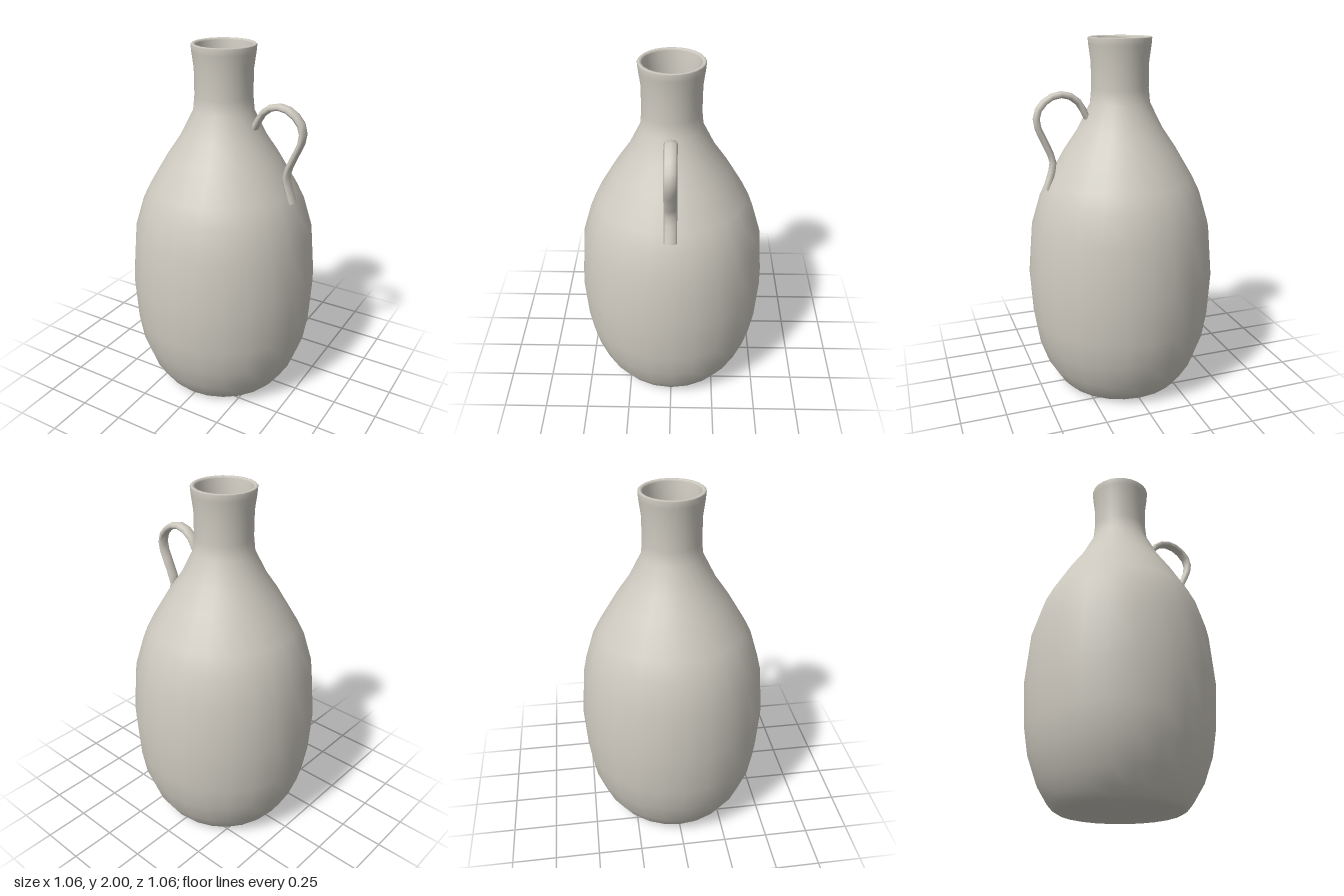
import * as THREE from 'three';

const clay = new THREE.MeshStandardMaterial({ color: 0xcecac0 });
clay.name = 'pale clay';

const vec2 = (pts) => pts.map(([x, y]) => new THREE.Vector2(x, y));

// Thin-walled bottle: recessed underside, outer wall up, over the rim,
// inner wall down to the floor
function makeBody() {
  const underside = [[0, 0.015], [0.285, 0.015], [0.3, 0], [0.33, 0]];
  const outer = [
    [0.355, 0.015], [0.385, 0.05], [0.44, 0.14], [0.49, 0.28],
    [0.515, 0.43], [0.53, 0.68], [0.505, 0.97], [0.454, 1.14], [0.41, 1.23],
    [0.31, 1.4], [0.235, 1.51], [0.165, 1.65], [0.157, 1.73], [0.158, 1.87],
    [0.17, 1.96], [0.173, 1.995],
  ];
  const rim = [[0.168, 2], [0.156, 2], [0.15, 1.99]];
  const inner = [
    [0.135, 1.86], [0.13, 1.68], [0.205, 1.5], [0.28, 1.38], [0.38, 1.21],
    [0.475, 0.97], [0.5, 0.68], [0.485, 0.43], [0.42, 0.16], [0.32, 0.035],
    [0.29, 0.03], [0, 0.03],
  ];
  const body = new THREE.Mesh(
    new THREE.LatheGeometry(vec2([...underside, ...outer, ...rim, ...inner]), 24), clay);
  body.name = 'bottleBody';
  return body;
}

// Strap handle: a tube along an S-curve, widened in z, with closed ends
function makeHandle() {
  const handle = new THREE.Group();
  handle.name = 'handle';
  const radius = 0.019;
  const widen = 1.8;
  const path = new THREE.CatmullRomCurve3([
    [0.19, 1.575], [0.24, 1.665], [0.31, 1.705], [0.395, 1.69], [0.462, 1.62],
    [0.466, 1.55], [0.42, 1.44], [0.386, 1.35], [0.392, 1.3], [0.427, 1.195],
  ].map(([x, y]) => new THREE.Vector3(x, y, 0)));

  const strap = new THREE.Mesh(new THREE.TubeGeometry(path, 16, radius, 8).scale(1, 1, widen), clay);
  strap.name = 'handleStrap';
  handle.add(strap);

  for (const t of [0, 1]) {
    const outward = path.getTangent(t).multiplyScalar(t ? 1 : -1);
    const turn = new THREE.Quaternion().setFromUnitVectors(new THREE.Vector3(0, 0, 1), outward);
    const end = path.getPoint(t);
    const cap = new THREE.Mesh(
      new THREE.CircleGeometry(radius, 8).applyQuaternion(turn)
        .translate(end.x, end.y, end.z).scale(1, 1, widen), clay);
    cap.name = t ? 'handleLowerEnd' : 'handleUpperEnd';
    handle.add(cap);
  }
  return handle;
}

export function createModel() {
  const jug = new THREE.Group();
  jug.name = 'jug';
  jug.add(makeBody(), makeHandle());
  return jug;
}
